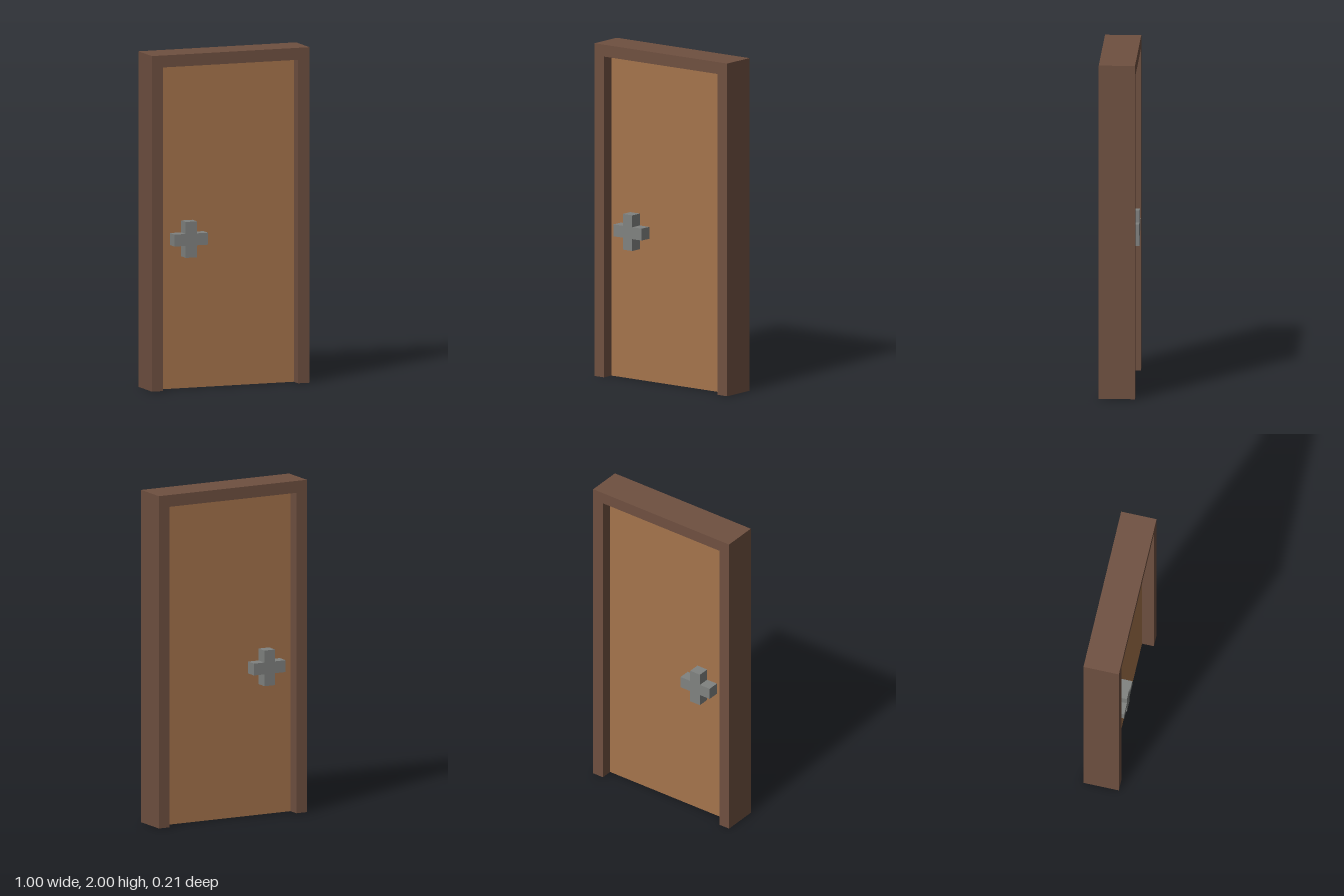
import * as THREE from 'three';

// Everything sits on a grid of 28 units to the full height
const U = 2 / 28;

const material = (name, color) => {
  const m = new THREE.MeshStandardMaterial({ color });
  m.name = name;
  return m;
};

// Extrude an outline given in grid units, from z0 to z1
function slab(name, points, z0, z1, mat) {
  const shape = new THREE.Shape(points.map(([x, y]) => new THREE.Vector2(x * U, y * U)));
  const geometry = new THREE.ExtrudeGeometry(shape, { depth: (z1 - z0) * U, bevelEnabled: false });
  geometry.translate(0, 0, z0 * U);
  const mesh = new THREE.Mesh(geometry, mat);
  mesh.name = name;
  return mesh;
}

export function createModel() {
  const frameWood = material('dark brown wood', 0x6f5040);
  const panelWood = material('light brown wood', 0xa5744c);
  const metal = material('grey metal', 0x808280);

  const door = new THREE.Group();
  door.name = 'door';

  // Frame: two posts and a lintel, open at the bottom
  door.add(slab('frame', [
    [-7, 0], [-6, 0], [-6, 27], [6, 27], [6, 0], [7, 0], [7, 28], [-7, 28],
  ], -1.5, 1.5, frameWood));

  // Door leaf, recessed one unit on both sides
  const leaf = new THREE.Mesh(new THREE.BoxGeometry(12 * U, 27 * U, U), panelWood);
  leaf.name = 'doorLeaf';
  leaf.position.y = 13.5 * U;
  door.add(leaf);

  // Cross-shaped knobs, flush with the frame on front and back
  const cross = [
    [-4, 11], [-3, 11], [-3, 12], [-2, 12], [-2, 13], [-3, 13],
    [-3, 14], [-4, 14], [-4, 13], [-5, 13], [-5, 12], [-4, 12],
  ];
  door.add(slab('frontKnob', cross, 0.5, 1.5, metal));
  door.add(slab('backKnob', cross, -1.5, -0.5, metal));

  return door;
}
